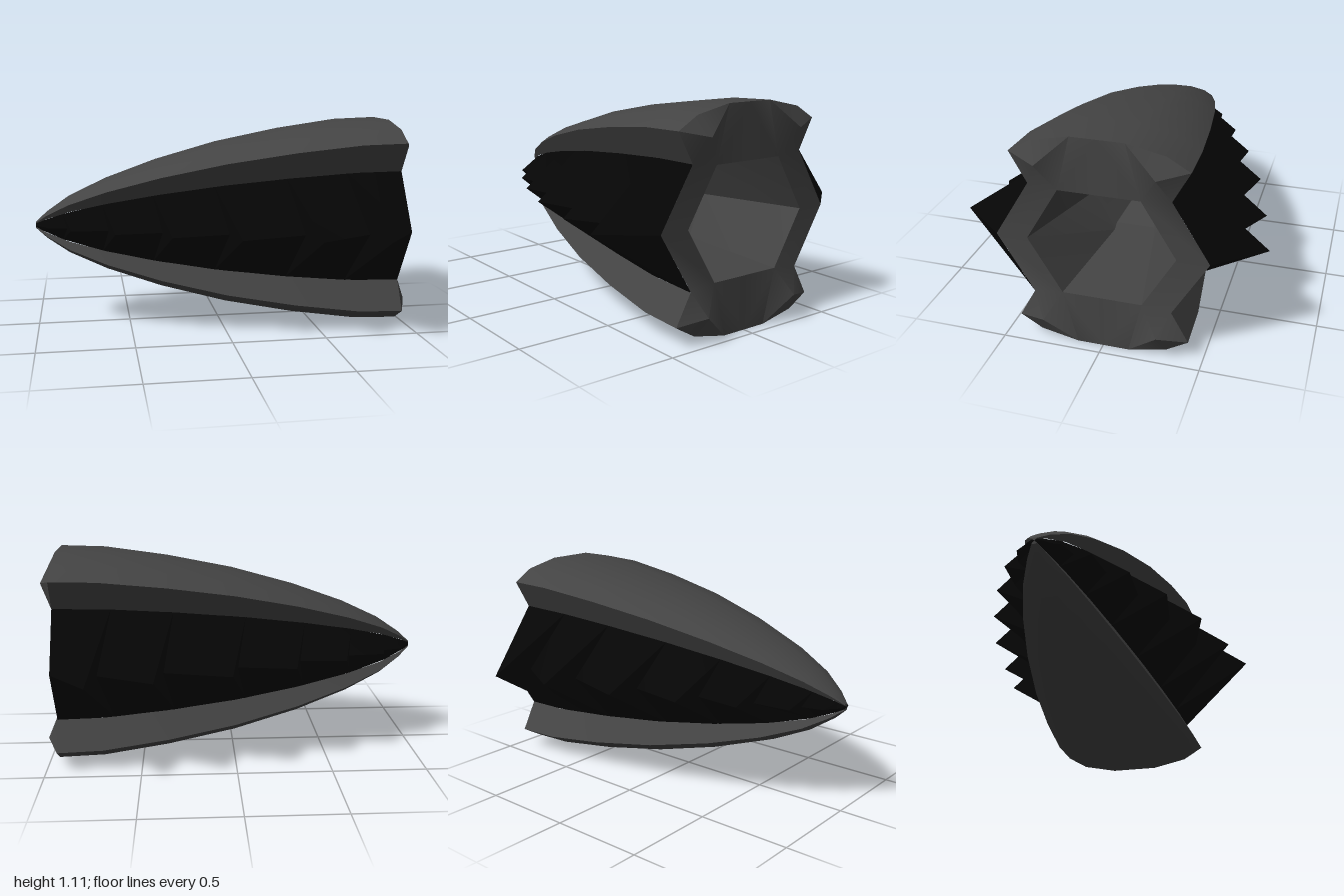
import * as THREE from 'three';
import { toCreasedNormals } from 'three/addons/utils/BufferGeometryUtils.js';

const CY = 0.557; // height of the long axis
const CREASE = 0.6;

// hull size along x
const HULL = [[-1, 0], [-0.998, 0.03], [-0.94, 0.125], [-0.82, 0.27], [-0.62, 0.435], [-0.34, 0.61],
  [0, 0.775], [0.36, 0.9], [0.7, 0.985], [0.94, 1]];

// side scales, nose to stern: tip x, tip z, tail x, tail z
const SCALES = [[-0.992, 0.035, -0.955, 0.07], [-0.935, 0.11, -0.83, 0.14], [-0.81, 0.22, -0.615, 0.24],
  [-0.585, 0.35, -0.34, 0.335], [-0.305, 0.48, -0.005, 0.435], [0.03, 0.605, 0.375, 0.515],
  [0.42, 0.7, 0.705, 0.55], [0.745, 0.765, 0.94, 0.525]];

// half of the shell outline at the stern, as (z, y from axis)
const SHELL = [[0.345, 0.297], [0.43, 0.452], [0.32, 0.517], [0.13, 0.557]];

function hullSize(x) {
  const i = Math.max(1, HULL.findIndex(p => x <= p[0]));
  const [x0, v0] = HULL[i - 1], [x1, v1] = HULL[i];
  return v0 + (v1 - v0) * (x - x0) / (x1 - x0);
}

const point = (x, z, y) => new THREE.Vector3(x, CY + y, z);

function addTriangle(out, a, b, c) {
  const area = b.clone().sub(a).cross(c.clone().sub(a)).length();
  if (area > 1e-9) for (const p of [a, b, c]) out.push(p.x, p.y, p.z);
}

function toGeometry(out) {
  const g = new THREE.BufferGeometry();
  g.setAttribute('position', new THREE.Float32BufferAttribute(out, 3));
  return toCreasedNormals(g, CREASE);
}

// skin between successive rows of points
function loft(rows) {
  const out = [];
  for (let i = 0; i < rows.length - 1; i++) {
    for (let j = 0; j < rows[i].length - 1; j++) {
      const a = rows[i][j], b = rows[i][j + 1], c = rows[i + 1][j + 1], d = rows[i + 1][j];
      addTriangle(out, a, d, b);
      addTriangle(out, d, c, b);
    }
  }
  return toGeometry(out);
}

// curved shell, upper (s = 1) or lower (s = -1)
function shell(s) {
  const outline = [...SHELL.map(([z, y]) => [z * s, y * s]),
    ...SHELL.slice().reverse().map(([z, y]) => [-z * s, y * s])];
  return loft(HULL.map(([x, k]) => outline.map(([z, y]) => point(x, z * k, y * k))));
}

// swept-back pointed scales filling one side groove; feet sit just inside the shells
function sideScales(s) {
  const row = (footX, ridgeX, ridgeZ) => {
    const k = hullSize(footX), z = 0.343 * k * s, y = 0.301 * k * s;
    return [point(footX, z, -y), point(ridgeX, ridgeZ * s, 0), point(footX, z, y)];
  };
  const foot = x => Math.max(-0.998, x - 0.02 - 0.085 * hullSize(x));
  const rows = SCALES.flatMap(([tipX, tipZ, tailX, tailZ], i) => {
    const next = SCALES[i + 1];
    return [row(foot(tipX), tipX, tipZ), row(next ? foot(next[0]) : tailX, tailX, tailZ)];
  });
  return loft([row(-1, -1, 0), ...rows]);
}

// stern face around the hexagonal opening, with four raised corner points
function sternFace() {
  const out = [], X = 0.94;
  for (const sy of [1, -1]) {
    for (const sz of [1, -1]) {
      const p = (z, y, x = X) => point(x, z * sz, y * sy);
      const face = (a, b, c) => {
        const nx = b.clone().sub(a).cross(c.clone().sub(a)).x;
        nx > 0 ? addTriangle(out, a, b, c) : addTriangle(out, a, c, b);
      };
      const [groove, wing, mid, top] = SHELL.map(([z, y]) => p(z, y));
      const hexTop = p(0.2, 0.28), hexSide = p(0.367, 0), ridge = p(0.525, 0), apex = p(0.285, 0.42, 1);
      const rim = [hexTop, top, mid, wing, groove, hexTop];
      for (let i = 0; i < rim.length - 1; i++) face(apex, rim[i], rim[i + 1]);
      face(groove, ridge, hexTop);
      face(ridge, hexSide, hexTop);
      face(p(0, 0.557), top, hexTop);
      face(p(0, 0.557), hexTop, p(0, 0.28));
    }
  }
  return toGeometry(out);
}

// stepped six-sided cavity narrowing towards the nose: x, side z, corner z, corner y
function cavity() {
  const steps = [[0.94, 0.367, 0.2, 0.28], [0.4, 0.215, 0.11, 0.22], [0.38, 0.2, 0.103, 0.185],
    [0.05, 0.095, 0.042, 0.085], [-0.05, 0, 0, 0]];
  return loft(steps.map(([x, w, c, h]) =>
    [[w, 0], [c, h], [-c, h], [-w, 0], [-c, -h], [c, -h], [w, 0]].map(([z, y]) => point(x, z, y))));
}

export function createModel() {
  const group = new THREE.Group();
  group.name = 'taperedHull';
  const grey = new THREE.MeshStandardMaterial({ color: 0x444444 });
  const black = new THREE.MeshStandardMaterial({ color: 0x050505 });
  const add = (name, geometry, material) => {
    const mesh = new THREE.Mesh(geometry, material);
    mesh.name = name;
    group.add(mesh);
  };
  add('upperShell', shell(1), grey);
  add('lowerShell', shell(-1), grey);
  add('frontScales', sideScales(1), black);
  add('backScales', sideScales(-1), black);
  add('sternFace', sternFace(), grey);
  add('sternCavity', cavity(), grey);
  return group;
}
